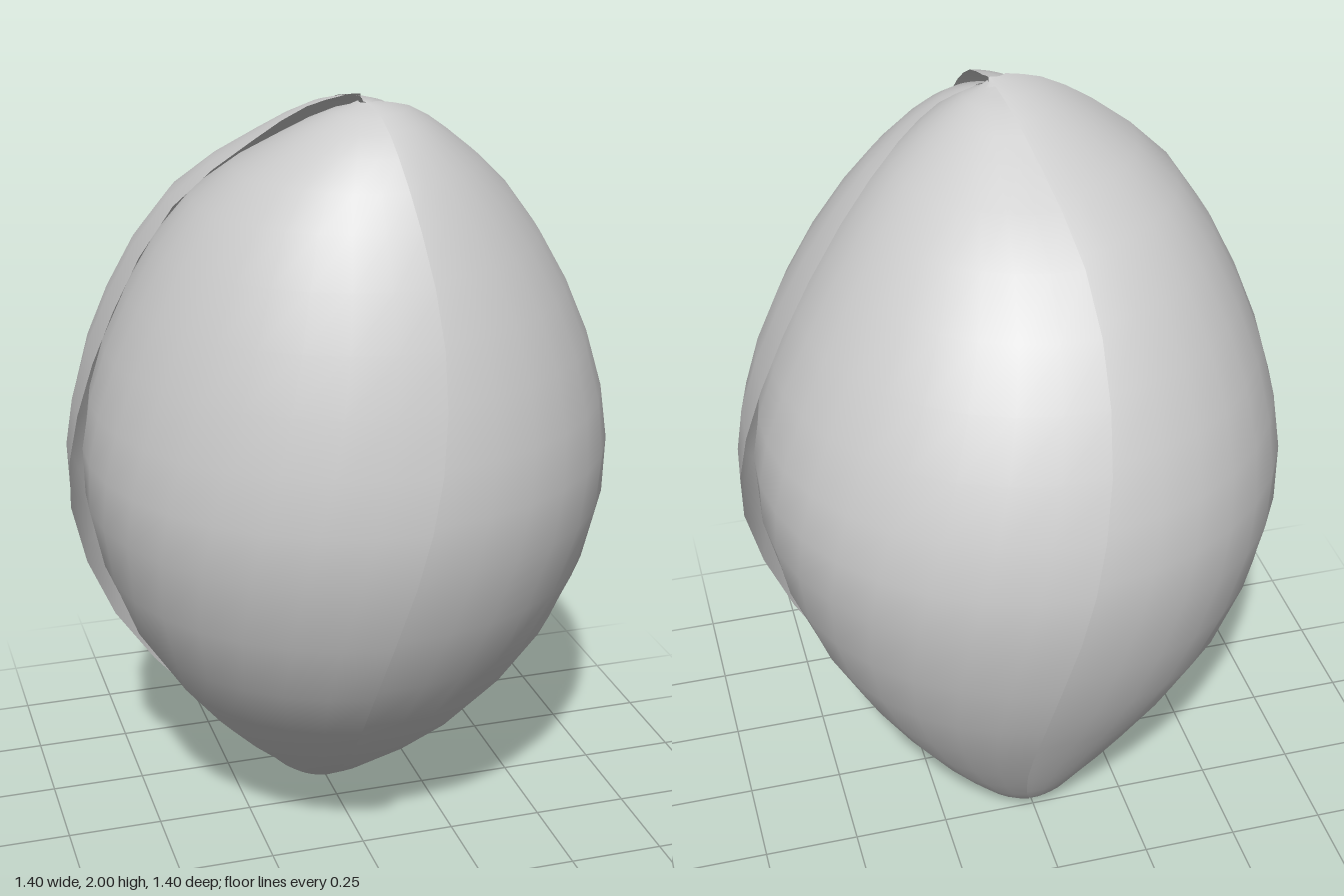
import * as THREE from 'three';

// Bud outline: height, radius, x and z of the slightly leaning axis
const sections = [
  [0.0, 0.02, 0, -0.17], [0.03, 0.10, 0, -0.16], [0.12, 0.20, 0.01, -0.13],
  [0.3, 0.37, 0.01, -0.07], [0.6, 0.575, 0, -0.02], [0.95, 0.685, 0, 0],
  [1.22, 0.67, 0, 0.01], [1.5, 0.565, -0.01, 0.04], [1.75, 0.40, -0.02, 0.09],
  [1.9, 0.22, -0.01, 0.16], [1.97, 0.10, 0, 0.18], [1.99, 0.01, 0, 0.19],
];

// Linear look-up in the outline, eased by a spline
const radii = new THREE.CatmullRomCurve3(sections.map(([y, r]) => new THREE.Vector3(r, y, 0)));
const axis = new THREE.CatmullRomCurve3(sections.map(([y, , x, z]) => new THREE.Vector3(x, y, z)));

// One curved petal; its far edge lifts over the next petal, its near edge tucks under the last
function petal(name, startDeg, lift, material) {
  const geo = new THREE.PlaneGeometry(1, 1, 12, 22);
  const pos = geo.attributes.position;
  for (let i = 0; i < pos.count; i++) {
    const u = pos.getX(i) + 0.5;
    const t = pos.getY(i) + 0.5;
    const p = radii.getPoint(t);
    const c = axis.getPoint(t);
    const twist = 9 * Math.sin((p.y - 1) * 2.2);
    const angle = THREE.MathUtils.degToRad(startDeg - 40 + 130 * u + twist);
    // the overlap fades to nothing at the base and is widest near the tip
    const gap = Math.min(1, p.y * 2) * (0.012 * u * u - 0.045 * (1 - u));
    const open = 0.02 * u * u * THREE.MathUtils.smoothstep(p.y, 1.2, 1.8);
    const r = Math.max(0.005, p.x + gap + open);
    const y = p.y + lift * THREE.MathUtils.smoothstep(p.y, 1.5, 2);
    pos.setXYZ(i, c.x + r * Math.sin(angle), y, c.z + r * Math.cos(angle));
  }
  geo.computeVertexNormals();
  const mesh = new THREE.Mesh(geo, material);
  mesh.name = name;
  return mesh;
}

export function createModel() {
  const bud = new THREE.Group();
  bud.name = 'flowerBud';
  const material = new THREE.MeshStandardMaterial({ color: 0xcccccc, side: THREE.DoubleSide });
  // four petals wrapped like a pinwheel
  const petals = [
    ['frontLeftPetal', 0, -0.01],
    ['backLeftPetal', 90, 0],
    ['backRightPetal', 180, 0.01],
    ['frontRightPetal', 270, -0.005],
  ];
  for (const [name, start, lift] of petals) bud.add(petal(name, start, lift, material));
  return bud;
}
